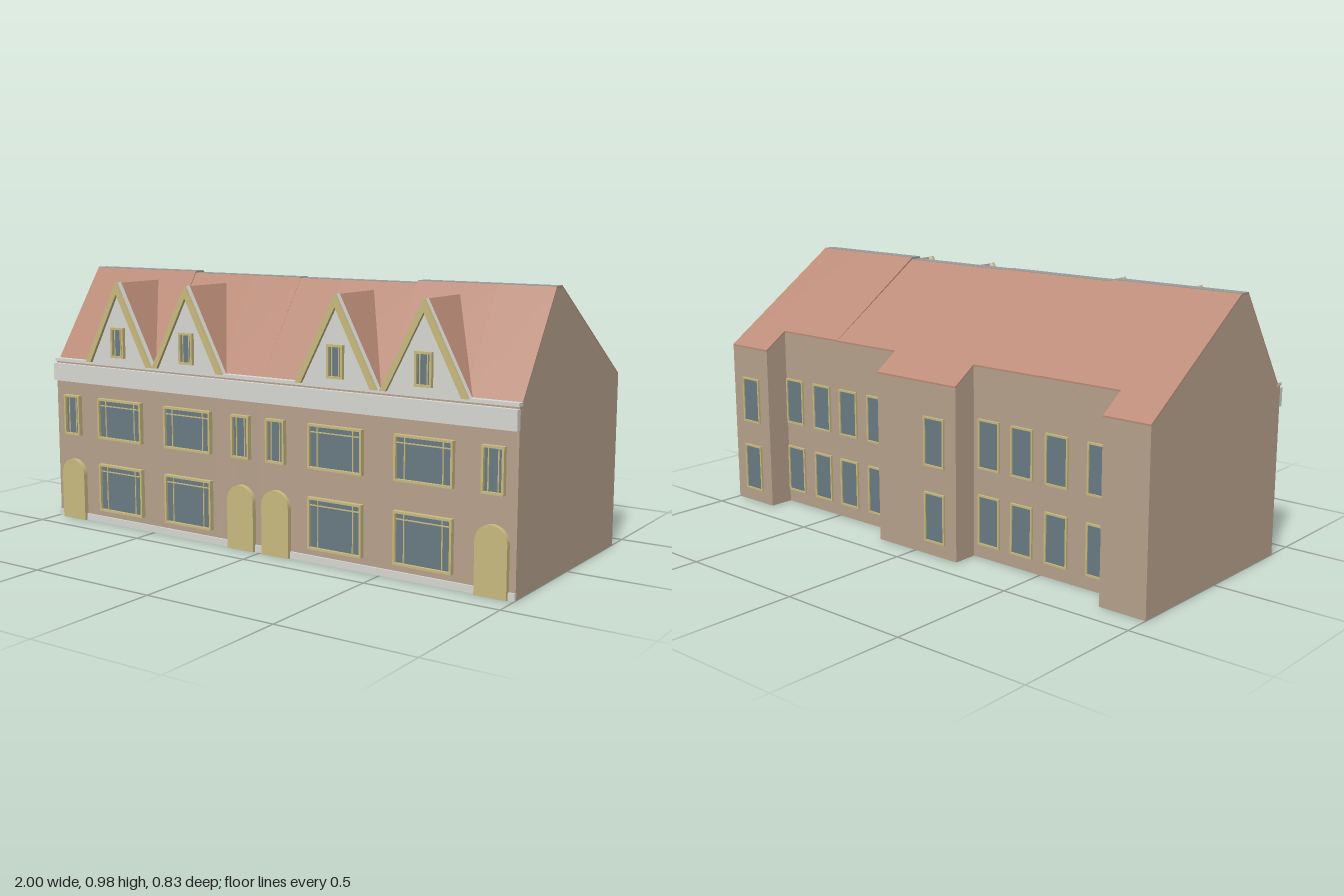
import * as THREE from 'three';

const mat = (color) => new THREE.MeshStandardMaterial({ color, flatShading: true });
const M = {
  wall: mat(0xb8a28d), roof: mat(0xbc8c79), trim: mat(0xc9bb80),
  white: mat(0xd8d8d3), glass: mat(0x6a7b84), ridge: mat(0x999c9c),
};
const FRONT = 0.393;

export function createModel() {
  const house = new THREE.Group();
  house.name = 'terraceHouse';

  const add = (parent, name, geo, m) => {
    const mesh = new THREE.Mesh(geo, m);
    mesh.name = name;
    parent.add(mesh);
    return mesh;
  };
  // Box given by its limits
  const box = (parent, name, m, x0, x1, y0, y1, z0, z1) => {
    const mesh = add(parent, name, new THREE.BoxGeometry(x1 - x0, y1 - y0, z1 - z0), m);
    mesh.position.set((x0 + x1) / 2, (y0 + y1) / 2, (z0 + z1) / 2);
    return mesh;
  };
  const shapeOf = (pts) => new THREE.Shape(pts.map(([a, b]) => new THREE.Vector2(a, b)));
  // Extrude an outline along z, from z0 to z1
  const alongZ = (shape, z0, z1) =>
    new THREE.ExtrudeGeometry(shape, { depth: z1 - z0, bevelEnabled: false, curveSegments: 10 }).translate(0, 0, z0);
  // Extrude a (z, y) cross-section along x, from x0 to x1
  const alongX = (pts, x0, x1) =>
    new THREE.ExtrudeGeometry(shapeOf(pts), { depth: x1 - x0, bevelEnabled: false })
      .rotateY(-Math.PI / 2).translate(x1, 0, 0);

  // Framed window centred on x, facing +z from the plane z = 0
  function windowUnit(parent, name, x, y0, y1, z, w, { bar = 0.008, depth = 0.018, mullions = [], transom = 0, back = false } = {}) {
    const g = new THREE.Group();
    g.name = name;
    const h = w / 2, inner = h - bar;
    box(g, 'pane', M.glass, -inner, inner, y0 + bar, y1 - bar, -0.004, depth * 0.4);
    for (const s of [-1, 1]) {
      box(g, 'frameSide', M.trim, s > 0 ? inner : -h, s > 0 ? h : -inner, y0, y1, -0.004, depth);
    }
    box(g, 'sill', M.trim, -inner, inner, y0, y0 + bar, -0.004, depth);
    box(g, 'lintel', M.trim, -inner, inner, y1 - bar, y1, -0.004, depth);
    for (const m of mullions) {
      box(g, 'mullion', M.trim, m - 0.002, m + 0.002, y0 + bar, y1 - bar, 0, depth * 0.6);
    }
    if (transom) box(g, 'transom', M.trim, -inner, inner, y1 - transom - 0.002, y1 - transom + 0.002, 0, depth * 0.6);
    g.position.set(x, 0, z);
    if (back) g.rotation.y = Math.PI;
    parent.add(g);
  }

  // Body and roof in slices: [x0, x1, back wall z, ridge height]
  const slices = [
    [-1, -0.82, -0.405, 0.975], [-0.82, -0.49, -0.31, 0.975], [-0.49, -0.2, -0.31, 0.969],
    [-0.2, 0, -0.405, 0.969], [0, 0.18, -0.405, 0.967], [0.18, 0.49, -0.31, 0.967],
    [0.49, 0.795, -0.31, 0.975], [0.795, 1, -0.405, 0.975],
  ];
  const T = 0.006;
  for (const [x0, x1, zb, top] of slices) {
    const eave = top - (top - 0.635) * (0.1 - zb) / 0.505;
    const outer = [[0.376, 0.63], [0.145, top], [0.1, top], [zb, eave]];
    const inner = outer.map(([z, y]) => [z, y - T]);
    add(house, 'walls', alongX([[FRONT, 0], [FRONT, 0.624], ...inner, [zb, 0]], x0, x1), M.wall);
    add(house, 'roof', alongX([...outer, ...inner.reverse()], x0, x1), M.roof);
    box(house, 'ridgeCap', M.ridge, x0, x1, top - 0.004, top + 0.0015, 0.1, 0.145);
  }

  // Plinth, white frieze and gutter on the front
  box(house, 'plinth', M.white, -1, 1, 0, 0.025, FRONT - 0.005, 0.4);
  box(house, 'frieze', M.white, -1, 1, 0.545, 0.613, FRONT - 0.005, 0.41);
  box(house, 'gutter', M.white, -1, 1, 0.62, 0.632, 0.37, 0.4);

  // Wide front windows
  for (const x of [-0.662, -0.328, 0.322, 0.667]) {
    for (const [y0, y1] of [[0.05, 0.235], [0.335, 0.492]]) {
      windowUnit(house, 'wideWindow', x, y0, y1, FRONT, 0.22, { mullions: [-0.072, 0.072], transom: 0.028 });
    }
  }

  // Narrow front windows above arched doors
  for (const x of [-0.91, -0.082, 0.072, 0.918]) {
    windowUnit(house, 'narrowWindow', x, 0.335, 0.492, FRONT, 0.08, { mullions: [-0.018, 0.018] });
    const arch = new THREE.Shape();
    arch.moveTo(-0.058, 0);
    arch.lineTo(0.058, 0);
    arch.lineTo(0.058, 0.18);
    arch.absarc(0, 0.18, 0.058, 0, Math.PI, false);
    arch.closePath();
    add(house, 'door', alongZ(arch, FRONT - 0.005, 0.411), M.trim).position.x = x;
  }

  // Dormers: roof prism, white gable, raking trim and small window
  const tri = (half, y0, y1) => [[-half, y0], [half, y0], [0, y1]];
  for (const x of [-0.66, -0.325, 0.325, 0.665]) {
    const d = new THREE.Group();
    d.name = 'dormer';
    d.position.x = x;
    add(d, 'dormerRoof', alongZ(shapeOf(tri(0.163, 0.628, 0.938)), 0.155, 0.38), M.roof);
    add(d, 'gable', alongZ(shapeOf(tri(0.164, 0.63, 0.94)), 0.38, 0.4), M.white);
    const rake = [[-0.164, 0.63], [-0.14, 0.63], [0, 0.895], [0.14, 0.63], [0.164, 0.63], [0, 0.94]];
    add(d, 'bargeBoard', alongZ(shapeOf(rake), 0.398, 0.412), M.trim);
    windowUnit(d, 'dormerWindow', 0, 0.655, 0.77, 0.4, 0.064, { depth: 0.013, mullions: [-0.014, 0.014] });
    house.add(d);
  }

  // Rear windows on the wings and the recessed walls
  const rear = [
    [-0.405, [0.895, -0.1]],
    [-0.31, [0.742, 0.585, 0.437, 0.285, -0.272, -0.42, -0.57, -0.745]],
  ];
  for (const [z, xs] of rear) {
    for (const x of xs) {
      for (const [y0, y1] of [[0.05, 0.235], [0.33, 0.51]]) {
        windowUnit(house, 'rearWindow', x, y0, y1, z, 0.096, { bar: 0.007, depth: 0.008, back: true });
      }
    }
  }

  return house;
}
